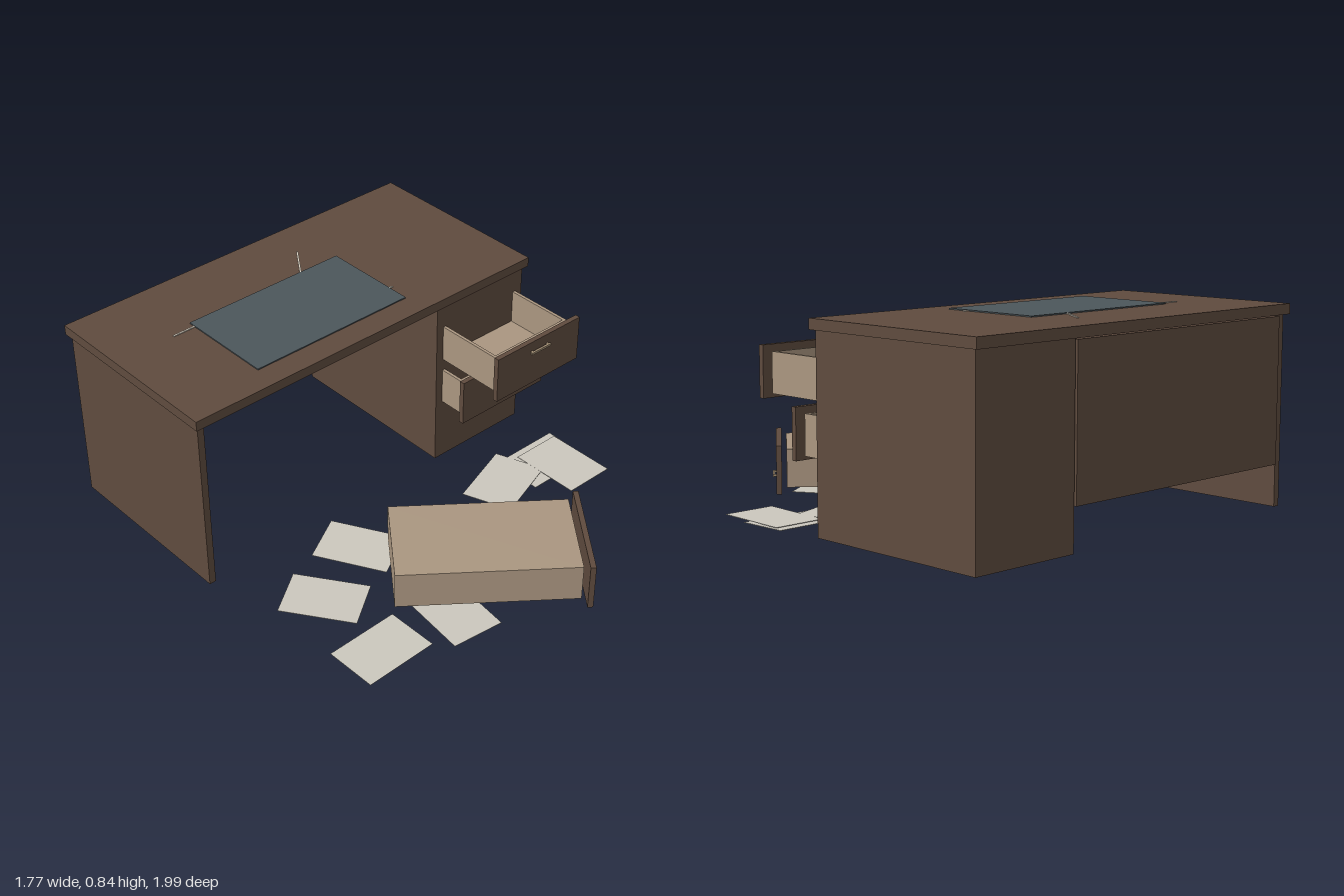
import * as THREE from 'three';

const mat = (name, color) => new THREE.MeshStandardMaterial({ name, color });

export function createModel() {
  const wood = mat('dark wood', 0x5f4b3e);
  const tan = mat('drawer wood', 0xaa9680);
  const paper = mat('paper', 0xcbc7bd);
  const slate = mat('blotter slate', 0x4c565b);
  const metal = mat('handle metal', 0xa08c72);
  const cream = mat('cream', 0xd8cfc0);

  const model = new THREE.Group();
  model.name = 'deskWithDrawers';

  // Box given by its min and max on each axis
  function slab(parent, name, material, [x0, x1], [y0, y1], [z0, z1]) {
    const mesh = new THREE.Mesh(new THREE.BoxGeometry(x1 - x0, y1 - y0, z1 - z0), material);
    mesh.position.set((x0 + x1) / 2, (y0 + y1) / 2, (z0 + z1) / 2);
    mesh.name = name;
    parent.add(mesh);
    return mesh;
  }

  // Desk body
  const desk = new THREE.Group();
  desk.name = 'desk';
  model.add(desk);
  slab(desk, 'deskTop', wood, [-0.885, 0.885], [0.797, 0.84], [-1, -0.117]);
  slab(desk, 'sidePanel', wood, [-0.87, -0.84], [0.01, 0.797], [-0.978, -0.135]);
  slab(desk, 'backPanel', wood, [-0.84, 0.362], [0.185, 0.79], [-0.982, -0.957]);
  slab(desk, 'drawerPedestal', wood, [0.37, 0.867], [0.01, 0.797], [-0.978, -0.135]);

  // Blotter and the thin sticks lying around it
  slab(desk, 'blotter', slate, [-0.5, 0.277], [0.84, 0.845], [-0.672, -0.23]);
  [[-0.605, -0.64, -0.49, -0.64], [0.075, -0.665, 0.175, -0.81], [0.27, -0.335, 0.295, -0.33]]
    .forEach(([x0, z0, x1, z1]) => {
      const stick = slab(desk, 'pencil', cream, [0, Math.hypot(x1 - x0, z1 - z0)], [0.84, 0.844], [0, 0.008]);
      stick.position.set((x0 + x1) / 2, 0.842, (z0 + z1) / 2);
      stick.rotation.y = -Math.atan2(z1 - z0, x1 - x0);
    });

  // Open-topped drawer, centred on its tray, with its front panel on +z
  function drawer(name) {
    const g = new THREE.Group();
    g.name = name;
    const w = 0.212, l = 0.372, b = -0.082, h = 0.082, t = 0.014;
    slab(g, 'trayFloor', tan, [-w, w], [b, b + t], [-l, l]);
    for (const s of [-1, 1]) {
      const side = slab(g, 'traySide', tan, [0, t], [b, h], [-l, l]);
      side.position.x = s * (w - t / 2);
      const end = slab(g, 'trayEnd', tan, [-w + t, w - t], [b, h], [0, t]);
      end.position.z = s * (l - t / 2);
    }
    slab(g, 'drawerFront', wood, [-0.239, 0.239], [-0.101, 0.107], [l + 0.021, l + 0.044]);
    slab(g, 'handle', metal, [-0.055, 0.055], [0.055, 0.065], [l + 0.05, l + 0.06]);
    for (const s of [-1, 1]) {
      const post = slab(g, 'handlePost', metal, [0, 0.01], [0.055, 0.065], [l + 0.044, l + 0.05]);
      post.position.x = s * 0.045;
    }
    model.add(g);
    return g;
  }

  drawer('upperDrawer').position.set(0.618, 0.605, -0.197);
  drawer('lowerDrawer').position.set(0.618, 0.385, -0.392);

  // Drawer lying upside down on the floor
  const fallen = drawer('overturnedDrawer');
  fallen.position.set(-0.002, 0.119, 0.547);
  fallen.rotation.set(0, 0.905, Math.PI, 'YXZ');

  // Loose sheets: x, z, height, direction of the long side
  const sheets = [
    [-0.58, 0.237, 0.009, 0.185, 0.265],
    [-0.6, 0.603, 0.006, 1, -0.015],
    [-0.275, 0.093, 0.016, 0.16, 0.285],
    [-0.045, 0.25, 0.01, 1, -0.1],
    [-0.25, 0.636, 0.009, 0.11, -0.99],
    [0.206, 0.544, 0.01, 0.56, 0.83],
    [0.478, 0.184, 0.012, 0.945, -0.327],
    [0.76, 0.268, 0.014, 0, 1],
    [0.72, 0.187, 0.006, 1, 0],
  ];
  sheets.forEach(([x, z, y, dx, dz], i) => {
    const sheet = slab(model, 'paperSheet', paper, [-0.1625, 0.1625], [0, 0.002], [-0.115, 0.115]);
    sheet.position.set(x, y, z);
    sheet.rotation.set(0.015 * (i % 3 - 1), -Math.atan2(dz, dx), 0.01 * (i % 2), 'YXZ');
  });

  return model;
}
